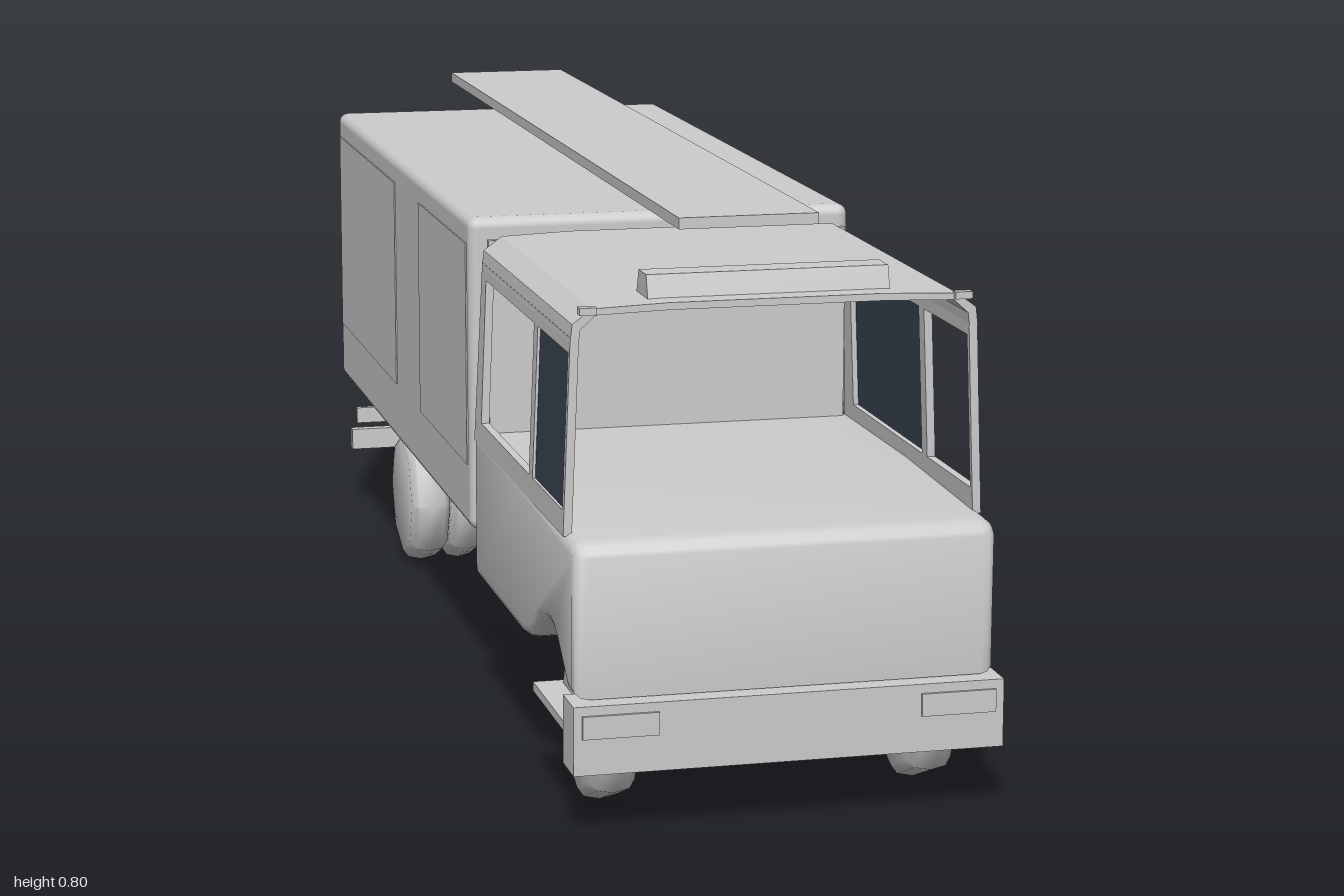
import * as THREE from 'three';
import { toCreasedNormals } from 'three/addons/utils/BufferGeometryUtils.js';
import { RoundedBoxGeometry } from 'three/addons/geometries/RoundedBoxGeometry.js';

export function createModel() {
  const group = new THREE.Group();
  const body = new THREE.MeshStandardMaterial({ color: 0xcccccc });
  body.name = 'light grey';
  const glass = new THREE.MeshStandardMaterial({ color: 0x3a4453, side: THREE.DoubleSide });
  glass.name = 'dark glass';

  const add = (name, geo, mat = body) => {
    const mesh = new THREE.Mesh(geo, mat);
    mesh.name = name;
    group.add(mesh);
    return mesh;
  };
  // box given by its limits on each axis
  const box = (name, x0, x1, y0, y1, z0, z1) => add(name,
    new THREE.BoxGeometry(x1 - x0, y1 - y0, z1 - z0)
      .translate((x0 + x1) / 2, (y0 + y1) / 2, (z0 + z1) / 2));
  const pair = (name, x0, x1, ...rest) => {
    box(name, x0, x1, ...rest);
    box(name, -x1, -x0, ...rest);
  };
  const points = list => list.map(([a, b]) => new THREE.Vector2(a, b));
  const rect = (a0, a1, b0, b1) => points([[a0, b0], [a1, b0], [a1, b1], [a0, b1]]);

  // cargo body with raised side panels
  add('cargoBody', new RoundedBoxGeometry(0.59, 0.48, 1.22, 3, 0.016).translate(0, 0.49, -0.355));
  for (const [z0, z1] of [[-0.16, 0.235], [-0.94, -0.38]]) {
    pair('cargoSidePanel', 0.292, 0.297, 0.35, 0.69, z0, z1);
  }

  // lower cab: side profile with wheel arches, bevelled across the width
  const lower = new THREE.Shape();
  lower.moveTo(0.285, 0.19);
  lower.lineTo(0.63, 0.19);
  lower.quadraticCurveTo(0.69, 0.195, 0.73, 0.23);
  lower.quadraticCurveTo(0.8, 0.275, 0.86, 0.24);
  lower.lineTo(0.925, 0.19);
  lower.lineTo(0.97, 0.19);
  lower.lineTo(0.972, 0.385);
  lower.quadraticCurveTo(0.965, 0.403, 0.94, 0.405);
  lower.lineTo(0.6, 0.414);
  lower.lineTo(0.285, 0.412);
  const lowerGeo = new THREE.ExtrudeGeometry(lower, {
    depth: 0.552, bevelEnabled: true, bevelThickness: 0.02, bevelSize: 0.016,
    bevelOffset: -0.016, bevelSegments: 3, curveSegments: 6,
  });
  lowerGeo.translate(0, 0, -0.276).rotateY(-Math.PI / 2);
  add('lowerCab', toCreasedNormals(lowerGeo, 0.7));

  // upper cab sides with two window openings each, leaning inwards
  const frontWindow = rect(0.7, 0.892, 0.435, 0.65);
  const rearWindow = rect(0.335, 0.675, 0.435, 0.65);
  const lean = geo => {
    const p = geo.attributes.position;
    for (let i = 0; i < p.count; i++) {
      p.setX(i, p.getX(i) - Math.sign(p.getX(i)) * Math.max(0, p.getY(i) - 0.41) * 0.04);
    }
    geo.computeVertexNormals();
    return geo;
  };
  for (const side of [1, -1]) {
    const wall = new THREE.Shape(points([[0.285, 0.4], [0.902, 0.4], [0.902, 0.672], [0.303, 0.672]]));
    wall.holes.push(new THREE.Path(frontWindow), new THREE.Path(rearWindow));
    const geo = new THREE.ExtrudeGeometry(wall, { depth: 0.012, bevelEnabled: false });
    geo.translate(0, 0, -0.006).rotateY(-Math.PI / 2).translate(side * 0.289, 0, 0);
    add('cabSide', lean(geo));
    // one glazed opening per side: rear on the left, front on the right
    const pane = new THREE.ShapeGeometry(new THREE.Shape(side > 0 ? rearWindow : frontWindow));
    pane.rotateY(-Math.PI / 2).translate(side * 0.291, 0, 0);
    add('sideWindow', lean(pane), glass);
  }

  // cab roof: chamfered shell running front to back
  const half = [[0.285, 0.665], [0.282, 0.69], [0.255, 0.71], [0.15, 0.714]];
  const inner = [[0.273, 0.665], [0.271, 0.682], [0.25, 0.701], [0.15, 0.704]];
  const mirrored = list => list.map(([x, y]) => [-x, y]);
  const roof = new THREE.Shape(points([
    ...half, ...mirrored(half).reverse(), ...mirrored(inner), ...[...inner].reverse()]));
  add('cabRoof', new THREE.ExtrudeGeometry(roof, { depth: 0.6, bevelEnabled: false })
    .translate(0, 0, 0.303));
  box('cabBackWall', -0.275, 0.275, 0.4, 0.704, 0.292, 0.304);

  // roof bar with sloping ends front and back
  const bar = new THREE.Shape(points([[0.803, 0.712], [0.868, 0.712], [0.858, 0.745], [0.815, 0.745]]));
  add('roofLightBar', new THREE.ExtrudeGeometry(bar, { depth: 0.34, bevelEnabled: false })
    .translate(0, 0, -0.17).rotateY(-Math.PI / 2));
  box('roofPlank', -0.1, 0.1, 0.788, 0.804, -0.9, 0.76);

  // small marker lamps at the upper corners
  pair('frontMarkerLamp', 0.25, 0.274, 0.703, 0.713, 0.898, 0.912);
  pair('rearMarkerLamp', 0.25, 0.285, 0.69, 0.718, -0.972, -0.96);

  // front bumper, headlamps and steps
  box('frontBumper', -0.302, 0.302, 0.092, 0.188, 0.93, 0.994);
  pair('headlamp', 0.184, 0.29, 0.143, 0.175, 0.985, 0.998);
  pair('step', 0.24, 0.3, 0.135, 0.148, 0.725, 0.925);

  // chassis rails and cross members
  pair('chassisRail', 0.085, 0.125, 0.15, 0.218, -0.955, 0.3);
  pair('frontChassisRail', 0.095, 0.125, 0.15, 0.2, 0.3, 0.94);
  for (const z of [-0.85, -0.1, 0.25]) box('crossMember', -0.09, 0.09, 0.17, 0.205, z - 0.015, z + 0.015);
  pair('bodyMount', 0.085, 0.125, 0.215, 0.255, -0.9, 0.24);

  // rear bumper and lamps
  box('rearBumper', -0.275, 0.275, 0.105, 0.142, -1.0, -0.982);
  pair('tailLamp', 0.2, 0.272, 0.162, 0.19, -0.955, -0.945);
  pair('reversingLamp', 0.155, 0.185, 0.162, 0.19, -0.955, -0.945);
  box('rearPlate', -0.06, 0.06, 0.162, 0.19, -0.955, -0.945);

  // eight-sided tyres with rounded shoulders; doubled at the rear
  const wheel = (x, z, width) => {
    const w = width / 2;
    const profile = points([[0, -w], [0.098, -w], [0.112, -w * 0.7], [0.117, 0],
      [0.112, w * 0.7], [0.098, w], [0, w]]);
    const geo = toCreasedNormals(new THREE.LatheGeometry(profile, 8), 0.9);
    geo.rotateZ(Math.PI / 2).translate(x, 0.12, z);
    add('wheel', geo);
  };
  for (const side of [1, -1]) {
    wheel(side * 0.227, 0.826, 0.066);
    wheel(side * 0.227, -0.55, 0.066);
    wheel(side * 0.163, -0.55, 0.058);
  }
  for (const z of [0.826, -0.55]) {
    add('axle', new THREE.CylinderGeometry(0.015, 0.015, 0.42, 8)
      .rotateZ(Math.PI / 2).translate(0, 0.12, z));
  }
  return group;
}
